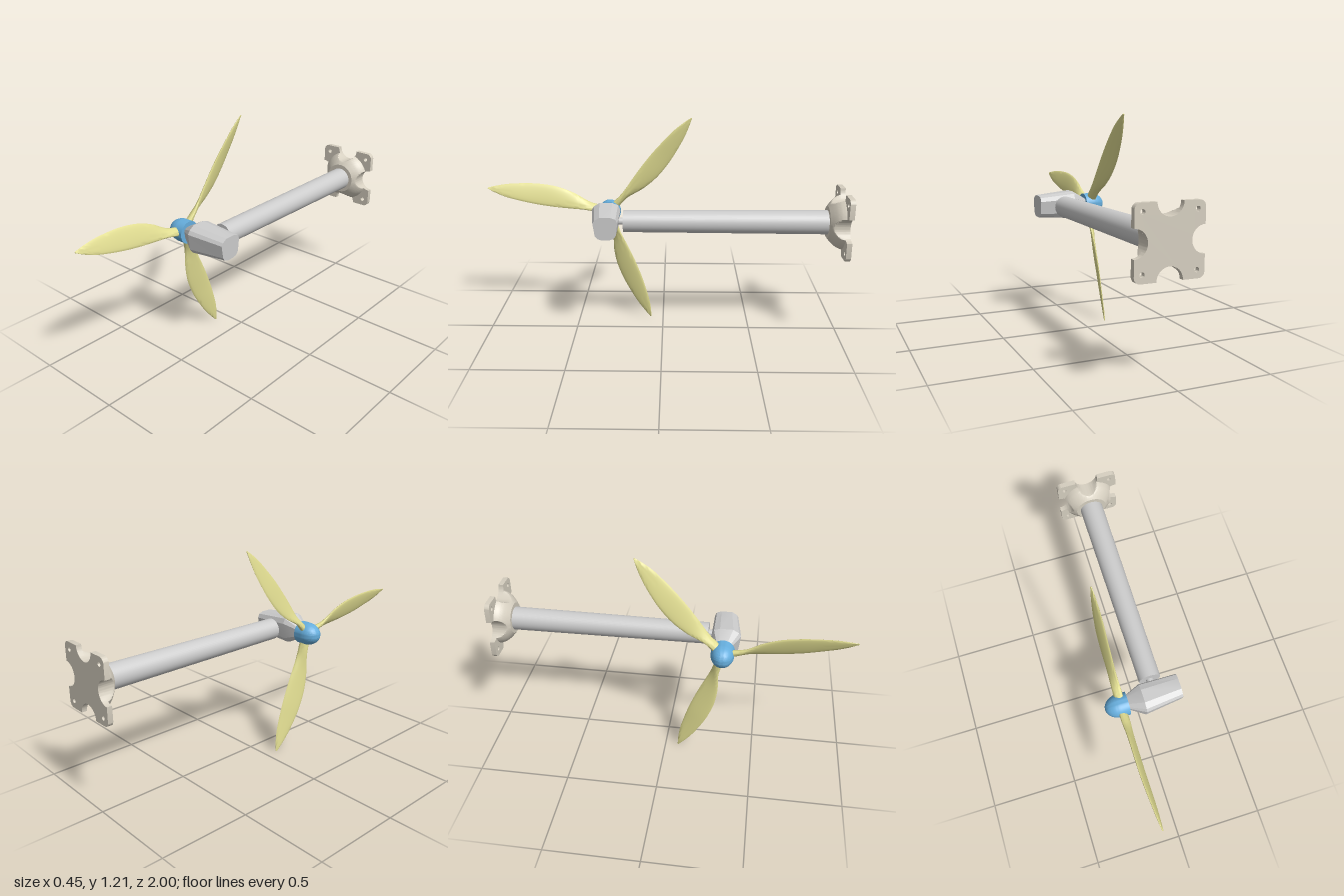
import * as THREE from 'three';
import { toCreasedNormals } from 'three/addons/utils/BufferGeometryUtils.js';

const Y = 0.665, TOWER_X = 0.0525, HUB = new THREE.Vector3(-0.14, 0.663, 0.306);

const grey = new THREE.MeshStandardMaterial({ color: 0xcccccc });
const blue = new THREE.MeshStandardMaterial({ color: 0x66aedd });
const yellow = new THREE.MeshStandardMaterial({ color: 0xe2de92 });
const beige = new THREE.MeshStandardMaterial({ color: 0xd6cfc0 });

function part(name, geometry, material, x = 0, y = 0, z = 0) {
  const mesh = new THREE.Mesh(geometry, material);
  mesh.name = name;
  mesh.position.set(x, y, z);
  return mesh;
}

// Skin over rings of [x, y, z] points, closed at both ends
function loft(rings, crease) {
  const n = rings[0].length, pos = rings.flat(2), index = [];
  for (let i = 0; i < rings.length - 1; i++) {
    for (let j = 0; j < n; j++) {
      const a = i * n + j, b = i * n + (j + 1) % n;
      index.push(a, b, b + n, a, b + n, a + n);
    }
  }
  [0, rings.length - 1].forEach((r, end) => {
    const centre = [0, 1, 2].map(k => rings[r].reduce((s, p) => s + p[k], 0) / n);
    const c = pos.length / 3;
    pos.push(...centre);
    for (let j = 0; j < n; j++) {
      const a = r * n + j, b = r * n + (j + 1) % n;
      index.push(c, ...(end ? [a, b] : [b, a]));
    }
  });
  const g = new THREE.BufferGeometry();
  g.setAttribute('position', new THREE.Float32BufferAttribute(pos, 3));
  g.setIndex(index);
  return toCreasedNormals(g, crease);
}

// Twisted blade along +y; leading edge towards -z and -x
function bladeGeometry() {
  // radius, leading edge, trailing edge, x of leading, x of trailing, half thickness
  const stations = [
    [0.03, 0.020, -0.020, -0.018, 0.018, 0.020],
    [0.08, 0.018, -0.014, -0.022, 0.022, 0.016],
    [0.12, 0.024, -0.014, -0.022, 0.020, 0.013],
    [0.17, 0.042, -0.019, -0.020, 0.016, 0.011],
    [0.22, 0.060, -0.025, -0.020, 0.014, 0.010],
    [0.32, 0.077, -0.034, -0.023, 0.013, 0.009],
    [0.43, 0.074, -0.038, -0.024, 0.012, 0.008],
    [0.52, 0.060, -0.035, -0.020, 0.012, 0.007],
    [0.60, 0.042, -0.029, -0.014, 0.010, 0.006],
    [0.66, 0.022, -0.017, -0.008, 0.006, 0.005],
    [0.707, 0.003, -0.003, -0.003, 0.003, 0.003],
  ];
  // One smooth curve through each column of the table
  const edge = (v, x) => new THREE.CatmullRomCurve3(stations.map(s => new THREE.Vector3(s[x], s[0], -s[v])));
  const lead = edge(1, 3), trail = edge(2, 4), thick = edge(1, 5);
  const rings = [];
  for (let i = 0; i <= 40; i++) {
    const t = i / 40, a = lead.getPoint(t), b = trail.getPoint(t), h = thick.getPoint(t).x;
    const mid = a.clone().add(b).multiplyScalar(0.5);
    const cz = (b.z - a.z) / 2, cx = (b.x - a.x) / 2, len = Math.hypot(cz, cx);
    const ring = [];
    for (let j = 0; j < 20; j++) {
      const w = j / 20 * Math.PI * 2, c = Math.cos(w), s = Math.sin(w) * h / len;
      ring.push([mid.x + cx * c + cz * s, mid.y, mid.z + cz * c - cx * s]);
    }
    rings.push(ring);
  }
  return loft(rings, 0.9);
}

// Chamfered housing that tapers along x
function nacelleGeometry() {
  const outline = [[0.45, 1], [0.85, 0.75], [1, 0.5], [0.85, -0.6], [0.65, -0.88], [0.3, -1],
    [-0.3, -1], [-0.65, -0.88], [-0.85, -0.6], [-1, 0.5], [-0.85, 0.85], [-0.45, 1]];
  // x, centre y, half height, centre z, half depth
  const sections = [[-0.1, 0.664, 0.036, 0.305, 0.04], [-0.02, 0.665, 0.081, 0.316, 0.08],
    [0.19, 0.664, 0.063, 0.303, 0.066]];
  return loft(sections.map(([x, cy, hy, cz, hz]) =>
    outline.map(([z, y]) => [x, cy + y * hy, cz + z * hz])), 0.35);
}

// Square plate with a half-round notch in each side and a hole in each corner
function plateGeometry(h, notch, corner, depth) {
  const shape = new THREE.Shape();
  for (let k = 0; k < 4; k++) {
    const r = k * Math.PI / 2, c = Math.round(Math.cos(r)), s = Math.round(Math.sin(r));
    const at = (x, y) => [c * x - s * y, s * x + c * y];
    shape.absarc(...at(0, -h), notch, Math.PI + r, r, true);
    shape.absarc(...at(h - corner, corner - h), corner, r - Math.PI / 2, r, false);
    const hole = new THREE.Path();
    hole.absarc(...at(0.133, 0.133), 0.012, 0, Math.PI * 2, true);
    shape.holes.push(hole);
  }
  return toCreasedNormals(new THREE.ExtrudeGeometry(shape, { depth, bevelEnabled: false, curveSegments: 20 }), 0.5);
}

// Flared collar, trimmed by the same notches as the plate
function collarGeometry(h, notch) {
  const rings = [];
  for (let i = 0; i <= 12; i++) {
    const t = i / 12, cone = 0.15 - 0.062 * t + 0.012 * Math.sin(t * Math.PI), ring = [];
    for (let j = 0; j < 128; j++) {
      const w = j / 128 * Math.PI * 2;
      const a = w - Math.round(w / (Math.PI / 2)) * Math.PI / 2;
      const d = notch ** 2 - (h * Math.sin(a)) ** 2;
      const r = d > 0 ? Math.min(cone, h * Math.cos(a) - Math.sqrt(d)) : cone;
      ring.push([r * Math.cos(w), r * Math.sin(w), 0.075 * t]);
    }
    rings.push(ring);
  }
  return loft(rings, 0.5);
}

export function createModel() {
  const model = new THREE.Group();
  model.name = 'windTurbine';

  // Base flange and collar
  const base = new THREE.Group();
  base.name = 'base';
  base.position.set(TOWER_X, 0.667, -1);
  base.add(part('mountingPlate', plateGeometry(0.172, 0.065, 0.03, 0.028), beige));
  base.add(part('collar', collarGeometry(0.172, 0.065), beige, 0, 0, 0.027));
  model.add(base);

  // Tower and yaw bearing, lying along z
  const alongZ = (r1, r0, z0, z1) => new THREE.CylinderGeometry(r1, r0, z1 - z0, 48)
    .rotateX(Math.PI / 2).translate(0, 0, (z0 + z1) / 2);
  model.add(part('tower', alongZ(0.06, 0.066, -0.92, 0.215), grey, TOWER_X, Y));
  model.add(part('yawBearing', alongZ(0.02, 0.02, 0.2, 0.26), grey, TOWER_X, Y));

  // Nacelle
  model.add(part('nacelle', nacelleGeometry(), grey));

  // Rotor: rounded hub, shaft and three blades
  const rotor = new THREE.Group();
  rotor.name = 'rotor';
  rotor.position.copy(HUB);
  const profile = [new THREE.Vector2(0, -0.04), new THREE.Vector2(0.063, -0.04)];
  for (let i = 0; i <= 16; i++) {
    const a = i / 16 * Math.PI / 2;
    profile.push(new THREE.Vector2(i === 16 ? 0 : 0.063 * Math.cos(a), 0.005 + 0.081 * Math.sin(a)));
  }
  const hub = toCreasedNormals(new THREE.LatheGeometry(profile, 48).rotateZ(Math.PI / 2), 0.6);
  rotor.add(part('hub', hub, blue));
  rotor.add(part('shaft', new THREE.CylinderGeometry(0.03, 0.03, 0.04, 32).rotateZ(Math.PI / 2), grey, 0.04));
  const blade = bladeGeometry();
  for (let k = 0; k < 3; k++) {
    const mesh = part('blade' + (k + 1), blade, yellow);
    mesh.rotation.x = THREE.MathUtils.degToRad(79.2 - 120 * k);
    rotor.add(mesh);
  }
  model.add(rotor);
  return model;
}
